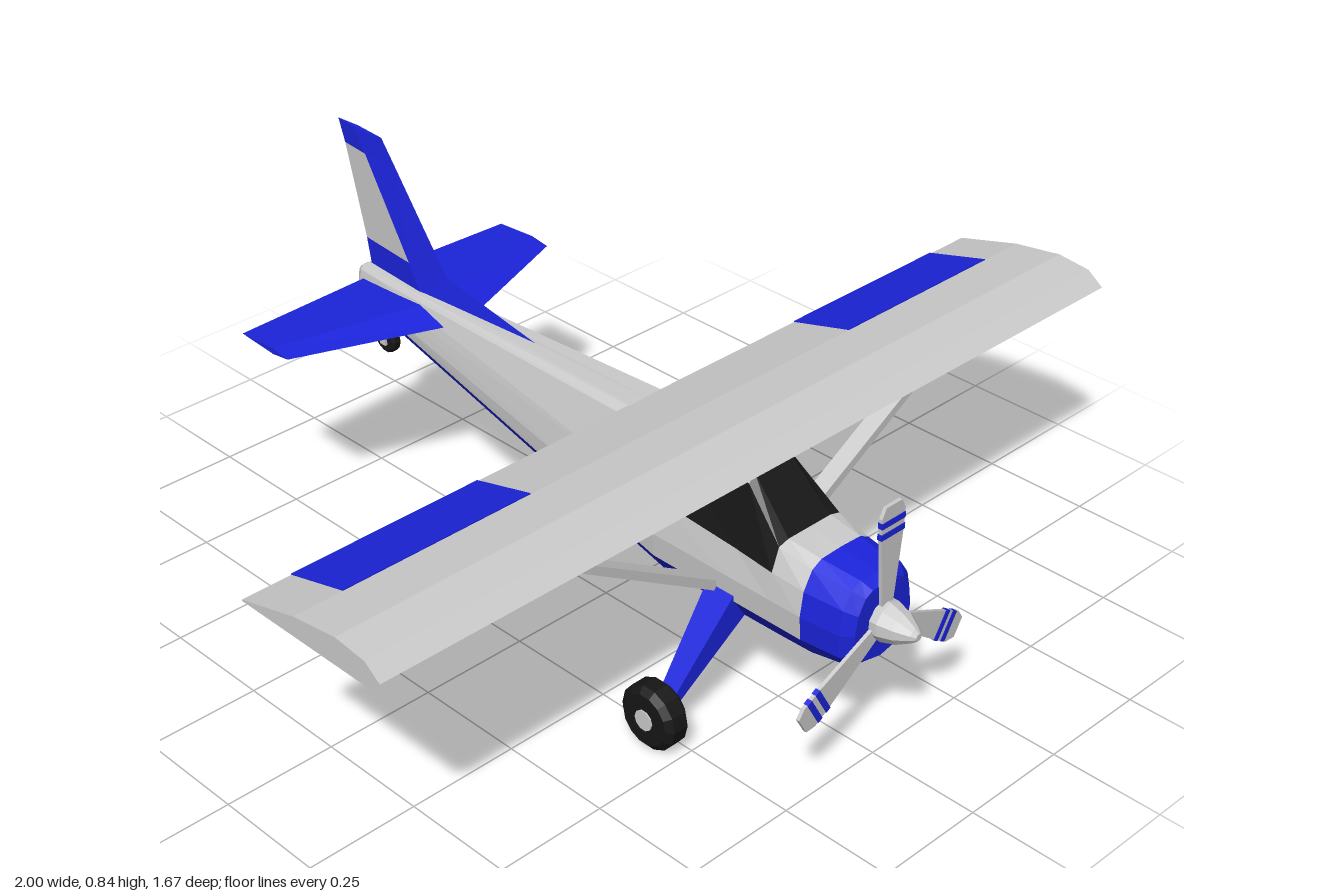
import * as THREE from 'three';

const mat = (color) => new THREE.MeshStandardMaterial({ color, flatShading: true, side: THREE.DoubleSide });

export function createModel() {
  const plane = new THREE.Group();
  plane.name = 'lightAircraft';
  const GREY = mat(0xcccccc), BLUE = mat(0x1c24dc), BLACK = mat(0x161616);

  const add = (name, geometry, material, parent = plane) => {
    const mesh = new THREE.Mesh(geometry, material);
    mesh.name = name;
    parent.add(mesh);
    return mesh;
  };

  // Faceted skin over rows of points, mirrored across x = 0
  const mirroredSkin = (rows) => {
    const pos = [];
    const tri = (a, b, c) => {
      const [A, B, C] = [a, b, c].map((p) => new THREE.Vector3(...p));
      if (new THREE.Triangle(A, B, C).getArea() > 1e-8) pos.push(...a, ...b, ...c);
    };
    const mirrored = rows.map((r) => r.map(([x, y, z]) => [-x, y, z]).reverse());
    for (const grid of [rows, mirrored])
      for (let i = 0; i < grid.length - 1; i++)
        for (let j = 0; j < grid[i].length - 1; j++) {
          const a = grid[i][j], b = grid[i][j + 1], c = grid[i + 1][j + 1], d = grid[i + 1][j];
          tri(a, b, c);
          tri(a, c, d);
        }
    const g = new THREE.BufferGeometry();
    g.setAttribute('position', new THREE.Float32BufferAttribute(pos, 3));
    g.computeVertexNormals();
    return g;
  };

  // Fuselage half sections, nose to tail: z, half widths and heights from roof to keel
  const wide = [0, 0.05, 0.066, 0.1, 0.11, 0.105, 0.07, 0];
  const tail = [0, 0.018, 0.024, 0.028, 0.03, 0.028, 0.018, 0];
  const flat = (v) => Array(8).fill(v);
  const sections = [
    [0.752, flat(0), flat(0.327)],
    [0.752, [0, 0.035, 0.055, 0.073, 0.08, 0.072, 0.045, 0], [0.41, 0.407, 0.397, 0.365, 0.322, 0.275, 0.25, 0.24]],
    [0.73, [0, 0.045, 0.07, 0.093, 0.1, 0.095, 0.06, 0], [0.425, 0.423, 0.412, 0.377, 0.323, 0.27, 0.232, 0.22]],
    [0.64, [0, 0.055, 0.08, 0.102, 0.11, 0.105, 0.07, 0], [0.435, 0.433, 0.42, 0.38, 0.325, 0.27, 0.223, 0.213]],
    [0.56, [0, 0.06, 0.086, 0.104, 0.11, 0.105, 0.07, 0], [0.442, 0.442, 0.435, 0.385, 0.325, 0.27, 0.221, 0.211]],
    [0.46, wide, [0.54, 0.54, 0.523, 0.391, 0.325, 0.27, 0.22, 0.21]],
    [0.245, wide, [0.54, 0.54, 0.523, 0.405, 0.325, 0.27, 0.22, 0.21]],
    [-0.69, tail.map((x) => x * 1.2), [0.517, 0.515, 0.505, 0.476, 0.45, 0.432, 0.41, 0.403]],
    [-0.755, tail, [0.515, 0.513, 0.504, 0.48, 0.459, 0.444, 0.427, 0.42]],
    [-0.77, tail.map((x) => x * 0.7), [0.505, 0.503, 0.497, 0.48, 0.46, 0.447, 0.434, 0.43]],
    [-0.77, flat(0), flat(0.465)],
  ].map(([z, xs, ys]) => xs.map((x, i) => [x, ys[i], z]));
  const panel = (name, material, s0, s1, r0, r1) =>
    add(name, mirroredSkin(sections.slice(s0, s1 + 1).map((s) => s.slice(r0, r1 + 1))), material);
  panel('cowling', BLUE, 0, 3, 0, 7);
  panel('noseDeck', GREY, 3, 4, 0, 5);
  panel('windshield', BLACK, 4, 5, 0, 2);
  panel('cabinRoof', GREY, 5, 6, 0, 2);
  panel('sideWindows', BLACK, 4, 6, 2, 3);
  panel('cabinSides', GREY, 4, 6, 3, 5);
  panel('rearFuselage', GREY, 6, 10, 0, 5);
  panel('belly', BLUE, 3, 10, 5, 7);

  // Main wing: airfoil outline given as z, y and extruded along x
  const spanwise = (outline, span) => {
    const shape = new THREE.Shape(outline.map(([z, y]) => new THREE.Vector2(-z, y)));
    return new THREE.ExtrudeGeometry(shape, { depth: span, bevelEnabled: false })
      .translate(0, 0, -span / 2).rotateY(Math.PI / 2);
  };
  add('wing', spanwise([[0.465, 0.533], [0.492, 0.558], [0.453, 0.586], [0.375, 0.594],
    [0.26, 0.577], [0.11, 0.536], [0.11, 0.533]], 2), GREY);
  for (const s of [1, -1])
    add(s > 0 ? 'leftFlap' : 'rightFlap',
      spanwise([[0.26, 0.573], [0.26, 0.579], [0.109, 0.538], [0.109, 0.534]], 0.445), BLUE)
      .position.x = s * 0.6675;

  // Tail surfaces: stations of span, leading z, thickest z, trailing z, half thickness
  const foil = (stations, from = 0, to = 2) => mirroredSkin(stations.map(([h, lead, mid, trail, t]) =>
    [[0, h, lead], [t, h, mid], [0, h, trail]].slice(from, to + 1)));
  const fin = [
    [0.51, -0.1, -0.56, -0.745, 0.016],
    [0.575, -0.49, -0.6, -0.758, 0.013],
    [0.785, -0.65, -0.74, -0.816, 0.007],
    [0.837, -0.69, -0.775, -0.835, 0.005],
    [0.837, -0.69, -0.775, -0.835, 0],
  ];
  add('finBase', foil(fin.slice(0, 2)), BLUE);
  add('finLeadingEdge', foil(fin.slice(1, 3), 0, 1), BLUE);
  add('rudder', foil(fin.slice(1, 3), 1, 2), GREY);
  add('finTip', foil(fin.slice(2)), BLUE);
  const stabilizer = [
    [0, -0.435, -0.53, -0.745, 0.018],
    [0.37, -0.575, -0.625, -0.73, 0.007],
    [0.37, -0.575, -0.625, -0.73, 0],
  ];
  for (const s of [1, -1]) {
    const half = add(s > 0 ? 'leftStabilizer' : 'rightStabilizer', foil(stabilizer), BLUE);
    half.rotation.z = -s * Math.PI / 2;
    half.position.y = 0.487;
  }

  // Tapered four-sided beams: outer x, y, inner x, y, front z, back z at each end
  const beams = (ends) => mirroredSkin(ends.map(([xo, yo, xi, yi, f, b]) =>
    [[xo, yo, f], [xo, yo, b], [xi, yi, b], [xi, yi, f], [xo, yo, f]]));
  add('wingStruts', beams([[0.105, 0.272, 0.09, 0.288, 0.42, 0.38], [0.545, 0.535, 0.52, 0.54, 0.42, 0.38]]), GREY);
  add('landingGearLegs', beams([[0.27, 0.078, 0.265, 0.06, 0.447, 0.413], [0.105, 0.285, 0.06, 0.23, 0.466, 0.394]]), BLUE);

  // Wheels with bevelled tyres
  const wheel = (name, r, w, x, y, z) => {
    const g = new THREE.Group();
    g.name = name;
    const profile = [[0, -1], [0.8, -1], [1, -0.6], [1, 0.6], [0.8, 1], [0, 1]]
      .map(([a, b]) => new THREE.Vector2(a * r, b * w));
    add('tyre', new THREE.LatheGeometry(profile, 14).rotateZ(Math.PI / 2), BLACK, g);
    add('hub', new THREE.CylinderGeometry(r * 0.32, r * 0.32, w * 2 + 0.006, 10).rotateZ(Math.PI / 2), GREY, g);
    g.position.set(x, y, z);
    plane.add(g);
  };
  wheel('leftWheel', 0.072, 0.03, 0.283, 0.072, 0.43);
  wheel('rightWheel', 0.072, 0.03, -0.283, 0.072, 0.43);
  wheel('tailWheel', 0.035, 0.012, 0, 0.345, -0.702);
  for (const s of [1, -1])
    add('tailWheelFork', new THREE.BoxGeometry(0.006, 0.065, 0.018), GREY).position.set(s * 0.018, 0.368, -0.696);
  add('tailWheelPost', new THREE.BoxGeometry(0.042, 0.03, 0.022), GREY).position.set(0, 0.405, -0.69);

  // Propeller with three striped blades and a spinner
  const propeller = new THREE.Group();
  propeller.name = 'propeller';
  propeller.position.set(0, 0.327, 0.757);
  plane.add(propeller);
  const bladeShape = new THREE.Shape([[-0.012, 0], [0.012, 0], [0.032, 0.2], [0.033, 0.24], [0.022, 0.262],
    [-0.022, 0.262], [-0.033, 0.24], [-0.032, 0.2]].map((p) => new THREE.Vector2(...p)));
  for (let i = 0; i < 3; i++) {
    const blade = new THREE.Group();
    blade.name = 'blade';
    blade.rotation.z = i * Math.PI * 2 / 3;
    propeller.add(blade);
    add('bladeBody', new THREE.ExtrudeGeometry(bladeShape, { depth: 0.008, bevelEnabled: false }).translate(0, 0, -0.004), GREY, blade);
    for (const r of [0.2, 0.225])
      add('bladeStripe', new THREE.BoxGeometry(0.066, 0.013, 0.011), BLUE, blade).position.y = r;
  }
  const spinner = [[0, -0.01], [0.043, -0.01], [0.043, 0.012], [0.033, 0.045], [0.016, 0.074], [0.008, 0.083], [0, 0.083]]
    .map((p) => new THREE.Vector2(...p));
  add('spinner', new THREE.LatheGeometry(spinner, 10).rotateX(Math.PI / 2), GREY, propeller);

  return plane;
}
